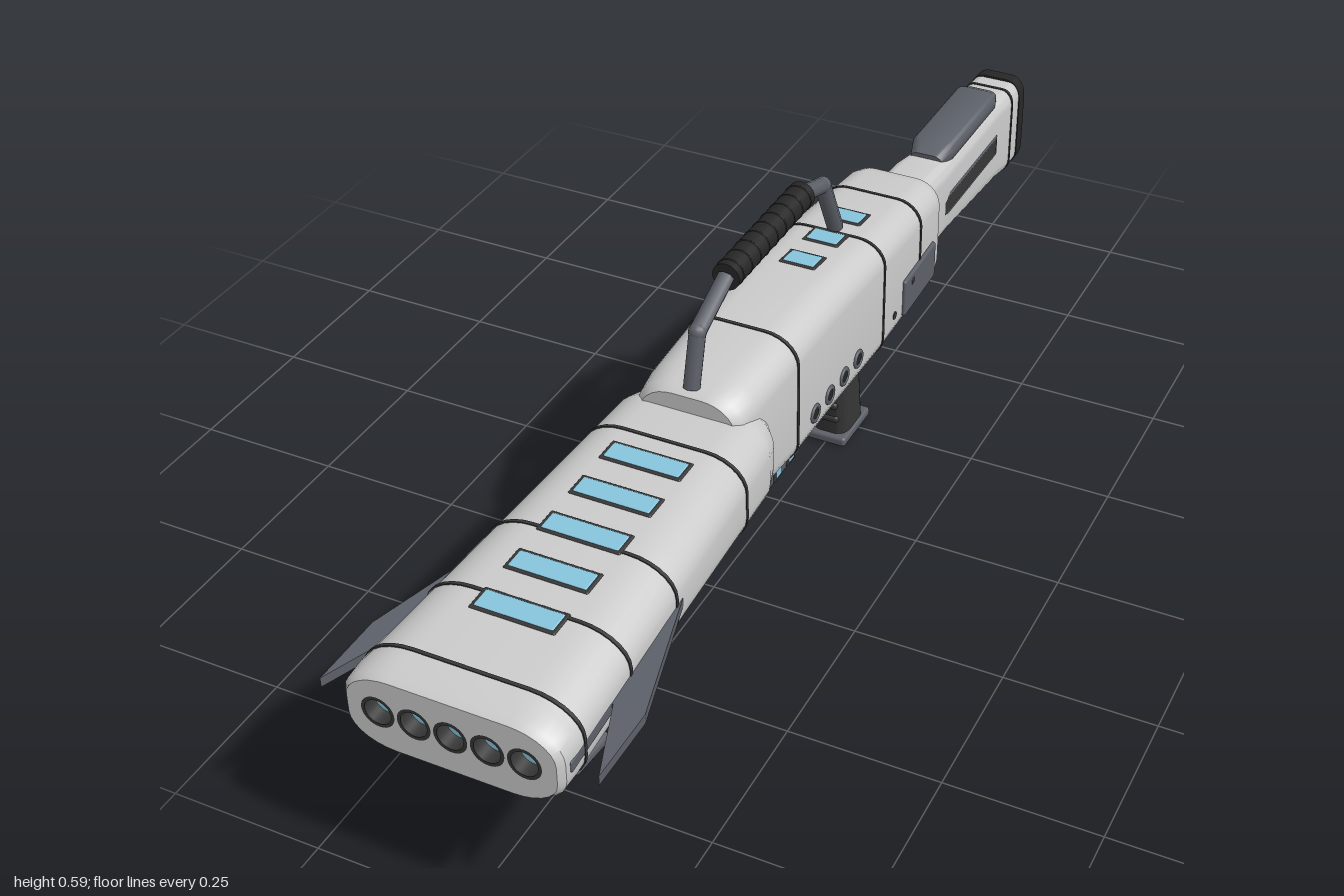
import * as THREE from 'three';
import { toCreasedNormals } from 'three/addons/utils/BufferGeometryUtils.js';
import { RoundedBoxGeometry } from 'three/addons/geometries/RoundedBoxGeometry.js';

const mat = (color) => new THREE.MeshStandardMaterial({ color });
const shell = mat(0xcccccc), slate = mat(0x5c6068), dark = mat(0x363636), black = mat(0x262626), blue = mat(0x87c5dd);

// Rounded cross-section, counter-clockwise: half width, bottom, top, corner radii
function ring([, w, y0, y1, rx, ry], n = 7) {
  const pts = [];
  const corners = [[1, y1 - ry], [-1, y1 - ry], [-1, y0 + ry], [1, y0 + ry]];
  corners.forEach(([s, cy], q) => {
    for (let i = 0; i <= n; i++) {
      const a = (q + i / n) * Math.PI / 2;
      pts.push(new THREE.Vector2(s * (w - rx) + rx * Math.cos(a), cy + ry * Math.sin(a)));
    }
  });
  return pts;
}

// Skin over stations [z, halfWidth, bottom, top, cornerRx, cornerRy]
function loft(stations, capEnd = true) {
  const st = [...stations].sort((a, b) => a[0] - b[0]);
  const pos = [], idx = [], rings = st.map((s) => ring(s)), m = rings[0].length;
  rings.forEach((r, k) => r.forEach((p) => pos.push(p.x, p.y, st[k][0])));
  for (let k = 0; k < st.length - 1; k++) {
    for (let j = 0; j < m; j++) {
      const a = k * m + j, b = k * m + (j + 1) % m;
      idx.push(a, b, b + m, a, b + m, a + m);
    }
  }
  [0, st.length - 1].forEach((k) => {
    if (k && !capEnd) return;
    const c = pos.length / 3;
    pos.push(0, (st[k][2] + st[k][3]) / 2, st[k][0]);
    for (let j = 0; j < m; j++) {
      const a = k * m + j, b = k * m + (j + 1) % m;
      if (k) idx.push(c, a, b); else idx.push(c, b, a);
    }
  });
  const g = new THREE.BufferGeometry();
  g.setAttribute('position', new THREE.Float32BufferAttribute(pos, 3));
  g.setIndex(idx);
  return toCreasedNormals(g, 0.6);
}

// Interpolated station at z
function at(stations, z) {
  const st = [...stations].sort((a, b) => a[0] - b[0]);
  const k = Math.max(1, st.findIndex((s) => s[0] >= z));
  const t = (z - st[k - 1][0]) / (st[k][0] - st[k - 1][0]);
  return st[k].map((v, i) => st[k - 1][i] + (v - st[k - 1][i]) * t);
}

// Stations given as [height, halfWidth, backZ, frontZ, rx, ry], lofted upward
const upright = (st) => loft(st.map(([h, w, b, f, rx, ry]) => [h, w, -f, -b, rx, ry])).rotateX(-Math.PI / 2);

export function createModel() {
  const model = new THREE.Group();
  const add = (name, geo, material, x = 0, y = 0, z = 0, parent = model) => {
    const m = new THREE.Mesh(geo, material);
    m.name = name;
    m.position.set(x, y, z);
    parent.add(m);
    return m;
  };
  const rounded = (w, h, d, r) => new RoundedBoxGeometry(w, h, d, 3, r);
  const rod = (name, a, b, r, material, sides = 8) => {
    const p = new THREE.Vector3(...a), q = new THREE.Vector3(...b);
    const m = add(name, new THREE.CylinderGeometry(r, r, p.distanceTo(q), sides), material);
    m.position.copy(p).lerp(q, 0.5);
    m.quaternion.setFromUnitVectors(new THREE.Vector3(0, 1, 0), q.sub(p).normalize());
  };
  const seam = (st, z) => {
    const grow = (dz) => {
      const [, w, b, t, rx, ry] = at(st, z + dz), e = 0.0015;
      return [z + dz, w + e, b - e, t + e, rx, ry];
    };
    add('seam', loft([grow(-0.003), grow(0.003)]), dark);
  };
  const topLight = (st, z, w, d) => {
    const g = new THREE.Group();
    const slope = (at(st, z + 0.02)[3] - at(st, z - 0.02)[3]) / 0.04;
    g.name = 'topLight';
    g.position.set(0, at(st, z)[3], z);
    g.rotation.x = -Math.atan(slope);
    model.add(g);
    add('lightFrame', rounded(w + 0.01, 0.006, d + 0.01, 0.003), dark, 0, -0.001, 0, g);
    add('lightPane', rounded(w, 0.006, d, 0.003), blue, 0, 0.0005, 0, g);
  };

  // Wide flared barrel
  const barrel = [
    [1.0, 0.16, 0.258, 0.378, 0.07, 0.045], [0.99, 0.168, 0.254, 0.384, 0.075, 0.05],
    [0.96, 0.169, 0.251, 0.39, 0.08, 0.055], [0.62, 0.149, 0.25, 0.396, 0.075, 0.055],
    [0.31, 0.131, 0.242, 0.4, 0.065, 0.055], [0.27, 0.118, 0.245, 0.392, 0.055, 0.055],
    [0.235, 0.095, 0.26, 0.375, 0.04, 0.05]];
  add('barrel', loft(barrel, false), shell);
  [0.94, 0.8, 0.65, 0.4].forEach((z) => seam(barrel, z));
  [0.455, 0.545, 0.635, 0.725, 0.815].forEach((z) => topLight(barrel, z, 0.125, 0.036));

  // Muzzle plate with five recessed lenses
  const face = new THREE.Shape(ring(barrel[0]));
  const lensX = [-2, -1, 0, 1, 2].map((i) => i * 0.056);
  lensX.forEach((x) => face.holes.push(new THREE.Path().absarc(x, 0.32, 0.022, 0, Math.PI * 2, true)));
  add('muzzlePlate', new THREE.ShapeGeometry(face, 24), shell, 0, 0, 0.9995);
  const tubeMat = dark.clone();
  tubeMat.side = THREE.DoubleSide;
  lensX.forEach((x) => {
    add('lensTube', new THREE.CylinderGeometry(0.022, 0.022, 0.03, 32, 1, true).rotateX(Math.PI / 2), tubeMat, x, 0.32, 0.985);
    add('lensRing', new THREE.RingGeometry(0.0205, 0.026, 32), dark, x, 0.32, 1.0);
    add('lens', new THREE.CircleGeometry(0.022, 32), blue, x, 0.32, 0.975);
  });

  // Side fins
  [-1, 1].forEach((s) => {
    const fin = new THREE.Shape([[0.12, 0.6], [0.147, 0.62], [0.213, 0.86], [0.213, 0.985], [0.165, 0.86], [0.12, 0.86]]
      .map(([x, z]) => new THREE.Vector2(s * x, z)));
    add('sideFin', new THREE.ExtrudeGeometry(fin, { depth: 0.016, bevelEnabled: false }).rotateX(Math.PI / 2), slate, 0, 0.328, 0);
    add('finSlot', rounded(0.006, 0.018, 0.12, 0.002), slate, s * 0.1645, 0.32, 0.92).rotation.y = s * 0.057;
  });

  // Main body
  const body = [
    [0.325, 0.08, 0.25, 0.428, 0.055, 0.045], [0.312, 0.09, 0.23, 0.436, 0.06, 0.05],
    [0.27, 0.094, 0.208, 0.442, 0.06, 0.05], [0.13, 0.098, 0.2, 0.446, 0.058, 0.05],
    [0.0, 0.098, 0.2, 0.445, 0.055, 0.05], [-0.2, 0.097, 0.196, 0.427, 0.05, 0.045],
    [-0.45, 0.089, 0.192, 0.402, 0.045, 0.045], [-0.472, 0.085, 0.198, 0.396, 0.045, 0.045],
    [-0.505, 0.06, 0.225, 0.368, 0.03, 0.035]];
  add('body', loft(body), shell);
  [0.14, -0.2, -0.37].forEach((z) => seam(body, z));
  [-0.085, -0.175, -0.265].forEach((z) => topLight(body, z, 0.055, 0.04));

  // Side ports, screws and panels
  [-1, 1].forEach((s) => {
    const port = (name, r, z, y, x, material) =>
      add(name, new THREE.CylinderGeometry(r, r, 0.008, 20).rotateZ(Math.PI / 2), material, s * x, y, z);
    [0.076, 0.02, -0.037, -0.093].forEach((z) => {
      add('portRing', new THREE.TorusGeometry(0.013, 0.004, 8, 24).rotateY(Math.PI / 2), slate, s * 0.098, 0.266, z);
      port('port', 0.013, z, 0.266, 0.096, black);
    });
    port('screw', 0.007, 0.258, 0.255, 0.093, dark);
    port('screw', 0.007, -0.253, 0.255, 0.093, dark);
    add('sidePanel', rounded(0.014, 0.07, 0.145, 0.004), slate, s * 0.091, 0.266, -0.363).rotation.y = s * 0.03;
    add('panelLatch', rounded(0.006, 0.012, 0.012, 0.002), dark, s * 0.097, 0.285, -0.325);
  });

  // Shoulder stock
  const stock = [
    [-0.49, 0.05, 0.212, 0.362, 0.022, 0.03], [-0.58, 0.05, 0.205, 0.357, 0.022, 0.03],
    [-0.63, 0.046, 0.198, 0.35, 0.022, 0.03], [-0.88, 0.046, 0.176, 0.348, 0.022, 0.03],
    [-0.92, 0.049, 0.172, 0.348, 0.022, 0.03], [-0.97, 0.049, 0.17, 0.346, 0.022, 0.03]];
  add('stock', loft(stock), shell);
  [-0.515, -0.93].forEach((z) => seam(stock, z));
  add('buttPad', loft([[-1, 0.044, 0.172, 0.342, 0.025, 0.035], [-0.993, 0.051, 0.166, 0.349, 0.028, 0.038],
    [-0.966, 0.051, 0.165, 0.35, 0.028, 0.038]]), black);
  add('cheekRest', loft([[-0.885, 0.032, 0.335, 0.365, 0.015, 0.01], [-0.86, 0.04, 0.335, 0.376, 0.018, 0.014],
    [-0.65, 0.04, 0.335, 0.376, 0.018, 0.014], [-0.615, 0.03, 0.335, 0.36, 0.015, 0.01]]), slate);
  [-1, 1].forEach((s) => {
    add('stockSlotFrame', rounded(0.008, 0.044, 0.275, 0.004), slate, s * 0.0435, 0.266, -0.727);
    add('stockSlot', rounded(0.008, 0.034, 0.265, 0.004), dark, s * 0.0445, 0.266, -0.727);
  });

  // Carrying handle
  const legs = [[0.308, 0.435], [0.285, 0.522], [0.19, 0.563], [-0.08, 0.563], [-0.16, 0.538], [-0.213, 0.43]]
    .map(([z, y]) => [0, y, z]);
  for (let i = 0; i < 5; i++) {
    rod(i === 2 ? 'handleGrip' : 'handleBar', legs[i], legs[i + 1], i === 2 ? 0.023 : 0.014, i === 2 ? black : slate, i === 2 ? 24 : 8);
  }
  [1, 4].forEach((i) => add('handleElbow', new THREE.SphereGeometry(0.0145, 12, 8), slate, ...legs[i]));
  for (let i = 0; i < 9; i++) {
    add('gripRib', new THREE.TorusGeometry(0.022, 0.002, 6, 24), black, 0, 0.563, 0.175 - i * 0.03);
  }

  // Front grip
  add('frontGrip', upright([[0.26, 0.036, 0.638, 0.738, 0.025, 0.03], [0.235, 0.036, 0.642, 0.736, 0.025, 0.03],
    [0.18, 0.034, 0.65, 0.732, 0.025, 0.03], [0.12, 0.037, 0.66, 0.743, 0.025, 0.03],
    [0.06, 0.036, 0.673, 0.752, 0.025, 0.03]]), dark);
  add('frontGripCollar', rounded(0.082, 0.016, 0.112, 0.006), slate, 0, 0.246, 0.69);
  add('frontGripBase', rounded(0.084, 0.02, 0.098, 0.008), slate, 0, 0.055, 0.715).rotation.x = -0.12;

  // Rear grip with finger ridges
  add('rearGrip', upright([[0.21, 0.034, -0.262, -0.158, 0.02, 0.025], [0.17, 0.033, -0.262, -0.166, 0.02, 0.025],
    [0.1, 0.034, -0.27, -0.18, 0.02, 0.025], [0.01, 0.033, -0.284, -0.194, 0.02, 0.025]]), dark);
  [0.15, 0.118, 0.086, 0.054].forEach((y) =>
    add('fingerRidge', rounded(0.046, 0.014, 0.02, 0.006), dark, 0, y, -0.174 - (0.15 - y) * 0.2));
  add('rearGripBase', rounded(0.076, 0.018, 0.112, 0.006), slate, 0, 0.0102, -0.238);

  // Trigger and guard
  const guard = [[0, 0.2, -0.03], [0, 0.132, -0.03], [0, 0.132, -0.18]];
  rod('triggerGuard', guard[0], guard[1], 0.006, slate);
  rod('triggerGuard', guard[1], guard[2], 0.006, slate);
  rod('trigger', [0, 0.2, -0.115], [0, 0.16, -0.125], 0.007, dark);

  // Power cell under the body
  add('powerCell', loft([[0.01, 0.038, 0.128, 0.21, 0.015, 0.02], [0.02, 0.045, 0.12, 0.21, 0.018, 0.025],
    [0.19, 0.045, 0.12, 0.21, 0.018, 0.025], [0.2, 0.038, 0.128, 0.21, 0.015, 0.02]]), slate);
  add('powerCellCatch', rounded(0.03, 0.014, 0.02, 0.004), dark, 0, 0.116, 0.165);
  [-1, 1].forEach((s) => [0.152, 0.105, 0.057].forEach((z) => {
    add('cellLightFrame', rounded(0.006, 0.04, 0.028, 0.003), dark, s * 0.0445, 0.157, z);
    add('cellLight', rounded(0.006, 0.03, 0.018, 0.003), blue, s * 0.0458, 0.157, z);
  }));
  return model;
}
